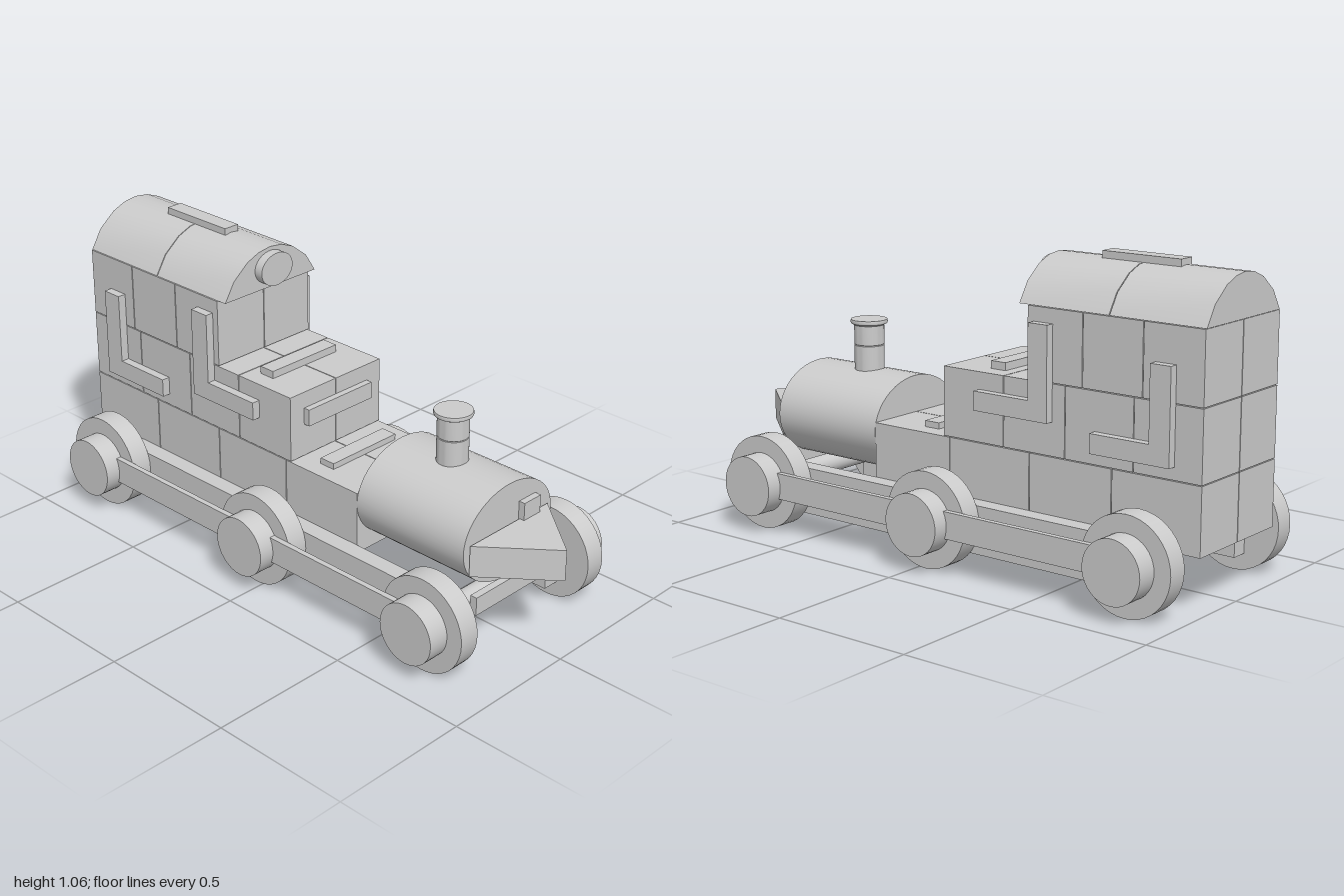
import * as THREE from 'three';
import { toCreasedNormals } from 'three/addons/utils/BufferGeometryUtils.js';

export function createModel() {
  const model = new THREE.Group();
  const material = new THREE.MeshStandardMaterial({ color: 0xcccccc });

  function add(name, geometry) {
    const mesh = new THREE.Mesh(geometry, material);
    mesh.name = name;
    model.add(mesh);
    return mesh;
  }

  // Box given by its limits on each axis
  function box(name, x0, x1, y0, y1, z0, z1) {
    const mesh = add(name, new THREE.BoxGeometry(x1 - x0, y1 - y0, z1 - z0));
    mesh.position.set((x0 + x1) / 2, (y0 + y1) / 2, (z0 + z1) / 2);
    return mesh;
  }

  // Cylinder along x
  function disc(name, radius, x0, x1, y, z) {
    const geometry = new THREE.CylinderGeometry(radius, radius, x1 - x0, 40).rotateZ(Math.PI / 2);
    add(name, geometry).position.set((x0 + x1) / 2, y, z);
  }

  // Elliptical cylinder along z
  function drum(name, rx, ry, y, z0, z1) {
    const geometry = new THREE.CylinderGeometry(1, 1, z1 - z0, 48).rotateX(Math.PI / 2).scale(rx, ry, 1);
    add(name, geometry).position.set(0, y, (z0 + z1) / 2);
  }

  // Outline extruded along z, starting at z0
  function extrude(name, points, z0, depth) {
    const shape = new THREE.Shape(points.map(([x, y]) => new THREE.Vector2(x, y)));
    const geometry = new THREE.ExtrudeGeometry(shape, { depth, bevelEnabled: false });
    const mesh = add(name, toCreasedNormals(geometry, 0.5));
    mesh.position.z = z0;
    return mesh;
  }

  // Body of staggered blocks, split along the centre line
  const gap = 0.0015;
  const rows = [
    { y0: 0.19, y1: 0.417, seams: [0.31, -0.02, -0.35, -0.67, -1] },
    { y0: 0.417, y1: 0.655, seams: [0.005, -0.245, -0.49, -0.75, -1] },
    { y0: 0.655, y1: 0.895, seams: [-0.34, -0.555, -0.78, -1] },
  ];
  for (const { y0, y1, seams } of rows) {
    for (let i = 0; i < seams.length - 1; i++) {
      for (const x0 of [-0.215, 0]) {
        box('bodyBlock', x0 + gap, x0 + 0.215 - gap, y0 + gap, y1 - gap, seams[i + 1] + gap, seams[i] - gap);
      }
    }
  }

  // Arched roof in two lengths, with a ridge bar and a lamp
  const half = [[0.21, 0.895], [0.168, 0.962], [0.105, 1.012], [0.053, 1.033]];
  const arch = [...half, [0, 1.04], ...half.map(([x, y]) => [-x, y]).reverse()];
  extrude('roofRear', arch, -1, 0.35 - gap);
  extrude('roofFront', arch, -0.65 + gap, 0.345 - gap);
  box('roofBar', -0.03, 0.03, 1.03, 1.06, -0.79, -0.495);
  drum('lamp', 0.072, 0.058, 0.968, -0.31, -0.272);

  // Boiler and chimney
  drum('boiler', 0.215, 0.168, 0.377, 0.31, 0.765);
  const chimney = [
    [0, 0.5], [0.053, 0.5], [0.053, 0.628], [0.051, 0.63], [0.053, 0.632],
    [0.053, 0.7], [0.064, 0.706], [0.066, 0.712], [0.064, 0.72], [0, 0.72],
  ].map(([r, y]) => new THREE.Vector2(r, y));
  add('chimney', toCreasedNormals(new THREE.LatheGeometry(chimney, 40), 0.6)).position.z = 0.525;

  // Pointed nose: triangle in plan, laid flat
  const nose = extrude('nose', [[-0.19, -0.77], [0, -1], [0.19, -0.77]], 0, 0.11);
  nose.rotation.x = -Math.PI / 2;
  nose.position.set(0, 0.29, 0);

  // L-shaped plate on the boiler front
  extrude('frontBracket', [
    [-0.17, 0.145], [0.13, 0.145], [0.13, 0.462], [0.05, 0.462], [0.05, 0.21], [-0.17, 0.21],
  ], 0.762, 0.026);

  // Cross bars on the steps
  box('deckBar', -0.15, 0.15, 0.412, 0.437, 0.08, 0.14);
  box('frontBar', -0.15, 0.15, 0.535, 0.595, 0, 0.027);
  box('stepBar', -0.15, 0.15, 0.65, 0.68, -0.203, -0.143);

  // Parts repeated on both sides
  const wheelZ = [0.72, -0.03, -0.82];
  for (const side of [-1, 1]) {
    const span = (a, b) => (side > 0 ? [a, b] : [-b, -a]);
    box('chassisBeam', ...span(0.216, 0.277), 0.06, 0.225, -0.86, 0.76);
    box('couplingRod', ...span(0.352, 0.372), 0.124, 0.216, -0.82, 0.72);
    for (const z of wheelZ) {
      disc('wheel', 0.165, ...span(0.277, 0.352), 0.165, z);
      disc('hub', 0.106, ...span(0.352, 0.428), 0.165, z);
    }
    // L-shaped side plates: foot forward, upright behind
    for (const [y, z] of [[0.53, -0.44], [0.46, -0.9]]) {
      const plate = extrude('sideBracket', [
        [0, 0], [-0.295, 0], [-0.295, 0.065], [-0.075, 0.065], [-0.075, 0.315], [0, 0.315],
      ], 0, 0.03);
      plate.rotation.y = Math.PI / 2;
      plate.position.set(side > 0 ? 0.214 : -0.244, y, z);
    }
  }

  // Axles
  for (const z of wheelZ) disc('axle', 0.035, -0.29, 0.29, 0.165, z);

  return model;
}
